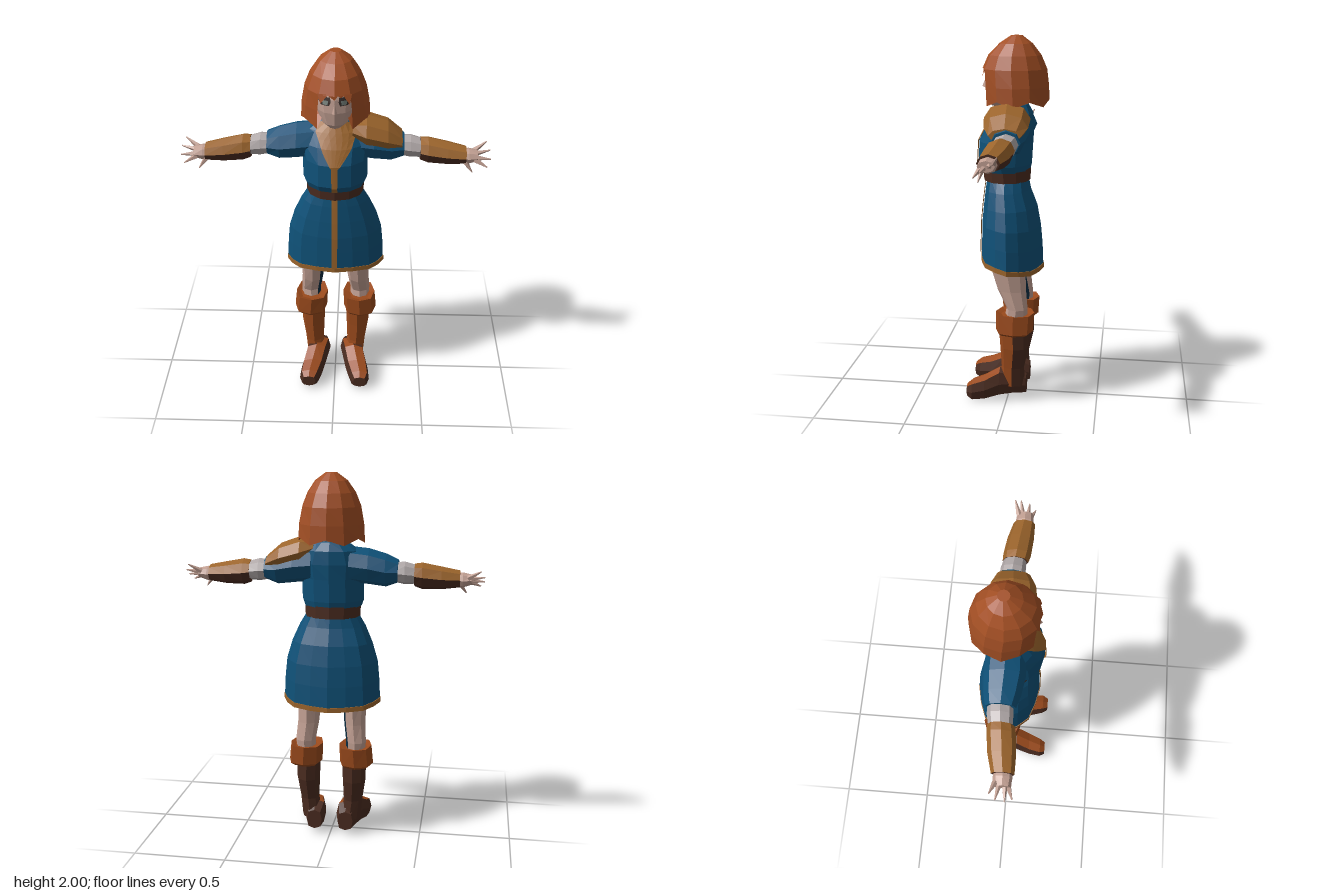
import * as THREE from 'three';

const mat = (name, color) => {
  const m = new THREE.MeshStandardMaterial({ color, side: THREE.DoubleSide });
  m.name = name;
  return m;
};

// Flat-shaded geometry from a list of triangles
function fromTris(tris) {
  const g = new THREE.BufferGeometry();
  g.setAttribute('position', new THREE.Float32BufferAttribute(tris.flat(2), 3));
  g.computeVertexNormals();
  return g;
}

// Skin over cross-sections [t, u0, u1, v0, v1, tilt, jag], with t rising along the axis
function loft(sections, { axis = 'y', n = 10, p = 1, fold = 0, skip = () => false, open = false } = {}) {
  const place = {
    x: (t, u, v) => [t, u, v],
    y: (t, u, v) => [u, t, v],
    z: (t, u, v) => [u, v, t],
  }[axis];
  const pw = (c) => Math.sign(c) * Math.abs(c) ** p;
  const rings = sections.map(([t, u0, u1, v0, v1, tilt = 0, jag = 0]) =>
    Array.from({ length: n }, (_, j) => {
      const a = (j / n) * Math.PI * 2, k = j % 2 ? 1 - fold : 1;
      const u = (u0 + u1) / 2 + ((u1 - u0) / 2) * k * pw(Math.cos(a));
      const v = (v0 + v1) / 2 + ((v1 - v0) / 2) * k * pw(Math.sin(a));
      return place(t + tilt * v + (j % 2 ? jag : 0), u, v);
    }));
  const tris = [];
  const add = (a, b, c) => tris.push(axis === 'y' ? [a, c, b] : [a, b, c]);
  for (let i = 0; i < rings.length - 1; i++) {
    for (let j = 0; j < n; j++) {
      if (skip(i, j)) continue;
      const k = (j + 1) % n, lo = rings[i], hi = rings[i + 1];
      add(lo[j], lo[k], hi[k]);
      add(lo[j], hi[k], hi[j]);
    }
  }
  const top = rings[rings.length - 1];
  for (let j = 1; j < n - 1; j++) {
    add(top[0], top[j], top[j + 1]);
    if (!open) add(rings[0][0], rings[0][j + 1], rings[0][j]);
  }
  return fromTris(tris);
}

// Thin panel laid on the front of a lofted body; rows are [y, left x, right x]
function patch(sections, rows, off = 0.006, cols = 6) {
  const point = (x, y) => {
    let i = 0;
    while (i < sections.length - 2 && y > sections[i + 1][0]) i++;
    const a = sections[i], b = sections[i + 1], f = (y - a[0]) / (b[0] - a[0]);
    const [, x0, x1, z0, z1, tilt] = [0, 1, 2, 3, 4, 5].map((k) => (a[k] || 0) + ((b[k] || 0) - (a[k] || 0)) * f);
    const q = (x - (x0 + x1) / 2) / ((x1 - x0) / 2);
    const z = (z0 + z1) / 2 + ((z1 - z0) / 2) * Math.sqrt(Math.max(0, 1 - q * q)) + off;
    return [x, y + tilt * z, z];
  };
  const grid = rows.map(([y, l, r]) => Array.from({ length: cols + 1 }, (_, c) => point(l + ((r - l) * c) / cols, y)));
  const tris = [];
  for (let i = 0; i < rows.length - 1; i++) {
    for (let c = 0; c < cols; c++) {
      const A = grid[i][c], B = grid[i][c + 1], C = grid[i + 1][c + 1], D = grid[i + 1][c];
      tris.push([A, B, C], [A, C, D]);
    }
  }
  return fromTris(tris);
}

// Mirror across x and restore the winding
function mirror(geo) {
  const a = geo.attributes.position, tris = [];
  const v = (i) => [-a.getX(i), a.getY(i), a.getZ(i)];
  for (let i = 0; i < a.count; i += 3) tris.push([v(i), v(i + 2), v(i + 1)]);
  return fromTris(tris);
}

// Two-colour split: faces passing the test on their normal take the first material
function split(geo, test) {
  const a = geo.attributes.position, nn = geo.attributes.normal, sets = [[], []];
  for (let i = 0; i < a.count; i += 3) {
    const normal = new THREE.Vector3().fromBufferAttribute(nn, i);
    sets[test(normal) ? 0 : 1].push([0, 1, 2].map((k) => [a.getX(i + k), a.getY(i + k), a.getZ(i + k)]));
  }
  const g = fromTris([...sets[0], ...sets[1]]);
  g.addGroup(0, sets[0].length * 3, 0);
  g.addGroup(sets[0].length * 3, sets[1].length * 3, 1);
  return g;
}

// Tapered finger between two points
function finger(from, to) {
  const a = new THREE.Vector3(...from), d = new THREE.Vector3(...to).sub(a);
  const g = new THREE.CylinderGeometry(0.003, 0.016, d.length(), 5).toNonIndexed();
  g.translate(0, d.length() / 2, 0);
  g.applyQuaternion(new THREE.Quaternion().setFromUnitVectors(new THREE.Vector3(0, 1, 0), d.normalize()));
  g.translate(a.x, a.y, a.z);
  g.computeVertexNormals();
  return g;
}

export function createModel() {
  const hair = mat('hair', 0xa34f24), blue = mat('blue cloth', 0x0f5178), ochre = mat('ochre', 0x9c652c);
  const leather = mat('dark leather', 0x4b2c20), rust = mat('boot leather', 0x9a4a1c), skin = mat('skin', 0xc2a093);
  const linen = mat('linen', 0xb0a8a8), dark = mat('eye dark', 0x3a2f2c), iris = mat('iris', 0x7f8a84), navy = mat('navy', 0x0b2c40);
  const model = new THREE.Group();
  const add = (name, geo, m) => {
    const mesh = new THREE.Mesh(geo, m);
    mesh.name = name;
    model.add(mesh);
  };

  // Tunic: skirt with tilted hem, belt and bodice
  const skirt = [
    [0.797, -0.265, 0.265, -0.185, 0.158, 0.145], [0.9, -0.26, 0.26, -0.18, 0.155, 0.1], [1.0, -0.25, 0.25, -0.17, 0.152, 0.05],
    [1.1, -0.22, 0.22, -0.15, 0.143], [1.19, -0.18, 0.18, -0.115, 0.132], [1.26, -0.138, 0.138, -0.1, 0.122]];
  add('skirt', loft(skirt, { n: 16, fold: 0.035, open: true }), blue);
  add('hem', loft([[0.772, -0.269, 0.269, -0.188, 0.161, 0.145], [0.798, -0.269, 0.269, -0.188, 0.161, 0.145]],
    { n: 16, fold: 0.035, open: true, skip: () => false }), ochre);
  add('belt', loft([[1.24, -0.15, 0.15, -0.112, 0.142], [1.31, -0.152, 0.152, -0.112, 0.146]], { n: 12 }), leather);
  const torso = [
    [1.295, -0.155, 0.155, -0.11, 0.155], [1.33, -0.168, 0.168, -0.118, 0.172], [1.45, -0.168, 0.168, -0.125, 0.165],
    [1.53, -0.18, 0.18, -0.13, 0.125], [1.6, -0.15, 0.15, -0.125, 0.08], [1.645, -0.085, 0.085, -0.1, 0.05]];
  add('bodice', loft(torso, { n: 12 }), blue);
  add('skirtStripe', patch(skirt, skirt.map(([y]) => [y, -0.015, 0.015])), ochre);
  add('collarPanel', patch(torso, [[1.3, -0.015, 0.015], [1.33, -0.015, 0.015], [1.44, -0.017, 0.017], [1.45, -0.025, 0.028],
    [1.5, -0.055, 0.065], [1.53, -0.068, 0.085], [1.57, -0.085, 0.1], [1.6, -0.1, 0.105], [1.642, -0.075, 0.075]]), ochre);

  // Head and neck
  add('neck', loft([[1.6, -0.055, 0.055, -0.07, 0.04], [1.7, -0.05, 0.05, -0.07, 0.05]], { n: 8 }), skin);
  const head = [
    [1.635, -0.045, 0.045, -0.06, 0.1], [1.66, -0.075, 0.075, -0.09, 0.12], [1.73, -0.105, 0.105, -0.12, 0.131],
    [1.8, -0.115, 0.115, -0.13, 0.126], [1.87, -0.1, 0.1, -0.11, 0.1]];
  add('head', loft(head, { n: 12 }), skin);
  add('nose', fromTris([[[-0.014, 1.728, 0.128], [0.014, 1.728, 0.128], [0, 1.735, 0.148]],
    [[0.014, 1.728, 0.128], [0, 1.785, 0.128], [0, 1.735, 0.148]], [[0, 1.785, 0.128], [-0.014, 1.728, 0.128], [0, 1.735, 0.148]]]), skin);
  for (const s of [-1, 1]) {
    const side = s > 0 ? 'left' : 'right';
    const span = (y, c, w) => [y, s * c - w, s * c + w];
    add(side + 'EyeRim', patch(head, [span(1.772, 0.048, 0.02), span(1.79, 0.05, 0.03), span(1.815, 0.05, 0.028)], 0.004), dark);
    add(side + 'Iris', patch(head, [span(1.777, 0.047, 0.012), span(1.8, 0.047, 0.016)], 0.008), iris);
  }

  // Bobbed hair with a gap for the face, and a jagged fringe
  add('hair', loft([
    [1.71, -0.11, 0.11, -0.14, 0.08], [1.64, -0.178, 0.178, -0.208, 0.135, 0, 0.03], [1.74, -0.172, 0.172, -0.206, 0.14],
    [1.83, -0.155, 0.155, -0.195, 0.146], [1.9, -0.127, 0.127, -0.165, 0.115], [1.96, -0.085, 0.085, -0.118, 0.055],
    [2.0, -0.03, 0.03, -0.065, -0.005]], { n: 12, open: true, skip: (i, j) => i < 3 && (j === 2 || j === 3) }), hair);
  const lock = (x0, x1, x, y) => [[x0, 1.835, 0.142 - Math.abs(x0) * 0.25], [x, y, 0.137], [x1, 1.835, 0.142 - Math.abs(x1) * 0.25]];
  add('fringe', fromTris([lock(-0.085, -0.03, -0.07, 1.79), lock(-0.04, 0.02, 0, 1.805), lock(0.01, 0.06, 0.03, 1.82), lock(0.04, 0.085, 0.075, 1.785)]), hair);

  // Limbs, modelled on the left and mirrored
  const X = { axis: 'x', n: 8 };
  const sleeve = loft([[0.1, 1.43, 1.62, -0.12, 0.08], [0.2, 1.42, 1.61, -0.122, 0.085], [0.29, 1.41, 1.585, -0.115, 0.07], [0.355, 1.435, 1.555, -0.1, 0.05]], X);
  const under = loft([[0.32, 1.44, 1.54, -0.09, 0.035], [0.39, 1.425, 1.545, -0.09, 0.04], [0.46, 1.43, 1.525, -0.075, 0.04]], X);
  const bracer = loft([[0.44, 1.415, 1.535, -0.083, 0.05], [0.48, 1.4, 1.54, -0.083, 0.06], [0.58, 1.4, 1.52, -0.07, 0.068], [0.675, 1.41, 1.5, -0.045, 0.068]], X);
  const palm = loft([[0.65, 1.42, 1.485, -0.03, 0.055], [0.69, 1.41, 1.49, -0.035, 0.06], [0.735, 1.425, 1.48, -0.03, 0.055]], X);
  const fingers = [
    [[0.72, 1.465, -0.02], [0.785, 1.505, -0.045]], [[0.72, 1.455, 0.0], [0.805, 1.47, -0.015]],
    [[0.72, 1.445, 0.025], [0.805, 1.44, 0.03]], [[0.72, 1.44, 0.04], [0.785, 1.41, 0.065]],
    [[0.67, 1.43, 0.04], [0.71, 1.375, 0.055]]].map(([a, b]) => finger(a, b));
  const leg = loft([[0.45, 0.085, 0.19, -0.11, 0.02], [0.55, 0.085, 0.195, -0.115, 0.0], [0.65, 0.07, 0.188, -0.105, 0.05],
    [0.78, 0.06, 0.19, -0.1, 0.09], [1.0, 0.02, 0.2, -0.1, 0.1]], { n: 8 });
  const shaft = loft([[0.09, 0.055, 0.165, -0.1, 0.04], [0.2, 0.07, 0.175, -0.095, 0.03], [0.32, 0.065, 0.193, -0.122, 0.037], [0.43, 0.06, 0.195, -0.12, 0.045]], { n: 8 });
  const cuff = loft([[0.405, 0.07, 0.21, -0.125, 0.045], [0.422, 0.05, 0.235, -0.145, 0.058], [0.525, 0.045, 0.225, -0.152, 0.06], [0.515, 0.08, 0.2, -0.12, 0.03]], { n: 8, p: 0.8 });
  const foot = loft([[-0.105, 0.045, 0.13, 0.03, 0.14], [-0.04, 0.03, 0.155, 0.03, 0.18], [0.04, 0.045, 0.175, 0.02, 0.185],
    [0.12, 0.065, 0.195, 0.003, 0.14], [0.19, 0.09, 0.202, 0, 0.115], [0.22, 0.11, 0.185, 0.02, 0.09]], { axis: 'z', n: 8, p: 0.7 });

  for (const s of [1, -1]) {
    const side = s > 0 ? 'left' : 'right';
    const limb = (name, geo, m, test) => {
      const g = s > 0 ? geo : mirror(geo);
      add(side + name, test ? split(g, test) : g, m);
    };
    limb('Sleeve', sleeve, blue);
    limb('UnderSleeve', under, linen);
    limb('Bracer', bracer, [ochre, leather], (v) => v.y > 0);
    limb('Palm', palm, skin);
    fingers.forEach((f, i) => limb('Finger' + (i + 1), f, skin));
    if (s > 0) limb('Leg', leg, skin);
    else limb('Leg', leg, [navy, skin], (v) => v.x > 0.8);
    limb('BootShaft', shaft, [rust, leather], (v) => v.z > 0.3);
    limb('BootCuff', cuff, rust);
    limb('Foot', foot, [rust, leather], (v) => v.y > 0.45 && v.z > 0);
  }

  // Single shoulder guard on the left
  add('shoulderGuard', loft([[0.09, 1.57, 1.655, -0.09, 0.1], [0.16, 1.515, 1.668, -0.128, 0.115], [0.27, 1.49, 1.63, -0.128, 0.1], [0.345, 1.49, 1.565, -0.1, 0.065]], X), ochre);
  return model;
}
